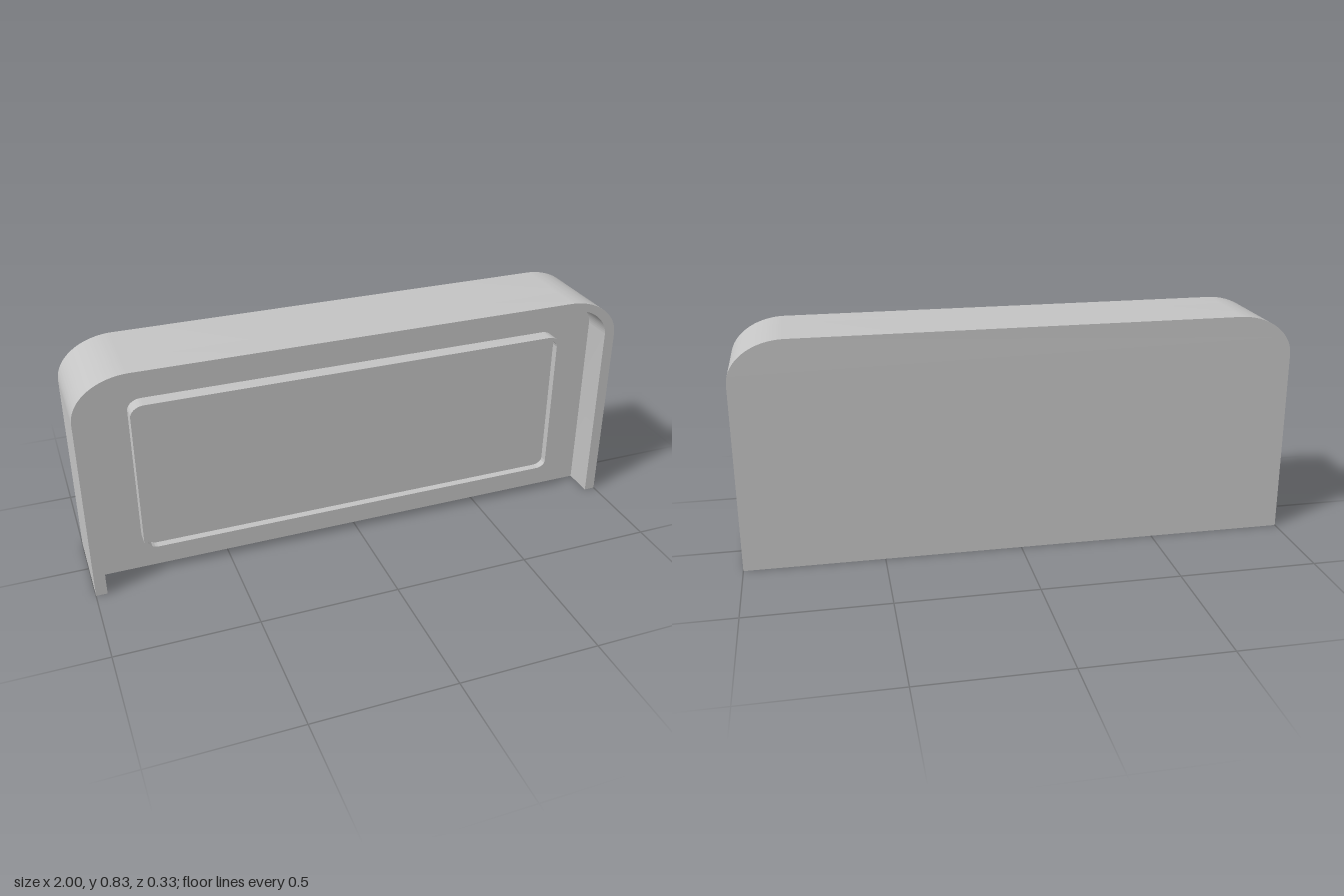
import * as THREE from 'three';
import { toCreasedNormals } from 'three/addons/utils/BufferGeometryUtils.js';

const W = 1, H = 0.833, BACK = -0.1667, FLOOR = 0.0556, FRONT = 0.1667;

// Adds an arch line from the lower right, over the top, to the lower left
function arch(path, w, h, rx, ry) {
  path.lineTo(w, h - ry);
  path.absellipse(w - rx, h - ry, rx, ry, 0, Math.PI / 2, false);
  path.lineTo(-w + rx, h);
  path.absellipse(-w + rx, h - ry, rx, ry, Math.PI / 2, Math.PI, false);
  path.lineTo(-w, 0);
}

// Rounded rectangle with slightly wide corners
function roundedRect(path, w, y0, y1, rx, ry) {
  path.moveTo(-w + rx, y0);
  const corners = [[w - rx, y0 + ry], [w - rx, y1 - ry], [-w + rx, y1 - ry], [-w + rx, y0 + ry]];
  corners.forEach(([x, y], i) => {
    const a = (i - 1) * Math.PI / 2;
    path.lineTo(x + rx * Math.cos(a), y + ry * Math.sin(a));
    path.absellipse(x, y, rx, ry, a, a + Math.PI / 2, false);
  });
  path.closePath();
  return path;
}

export function createModel() {
  const group = new THREE.Group();
  const grey = new THREE.MeshStandardMaterial({ color: 0xc4c4c4 });
  grey.name = 'light grey';

  const add = (name, shape, z0, z1) => {
    const geo = new THREE.ExtrudeGeometry(shape, { depth: z1 - z0, bevelEnabled: false, curveSegments: 20 });
    geo.translate(0, 0, z0);
    const mesh = new THREE.Mesh(toCreasedNormals(geo, 0.5), grey);
    mesh.name = name;
    group.add(mesh);
  };

  // Thick back slab
  const slab = new THREE.Shape();
  slab.moveTo(W, 0);
  arch(slab, W, H, 0.2, 0.15);
  slab.closePath();
  add('backSlab', slab, BACK, FLOOR);

  // Raised rim along the sides and top, open at the bottom
  const inner = new THREE.Path();
  inner.moveTo(0.96, 0);
  arch(inner, 0.96, 0.804, 0.16, 0.12);
  const rim = new THREE.Shape();
  rim.moveTo(W, 0);
  arch(rim, W, H, 0.2, 0.15);
  inner.getPoints(20).reverse().forEach((p) => rim.lineTo(p.x, p.y));
  rim.closePath();
  add('rim', rim, FLOOR, FRONT);

  // Raised border and the sunken panel inside it
  const border = roundedRect(new THREE.Shape(), 0.807, 0.101, 0.681, 0.05, 0.04);
  border.holes.push(roundedRect(new THREE.Path(), 0.793, 0.113, 0.667, 0.036, 0.028));
  add('panelBorder', border, FLOOR, 0.111);
  add('panel', roundedRect(new THREE.Shape(), 0.793, 0.113, 0.667, 0.036, 0.028), FLOOR, 0.0833);

  return group;
}
